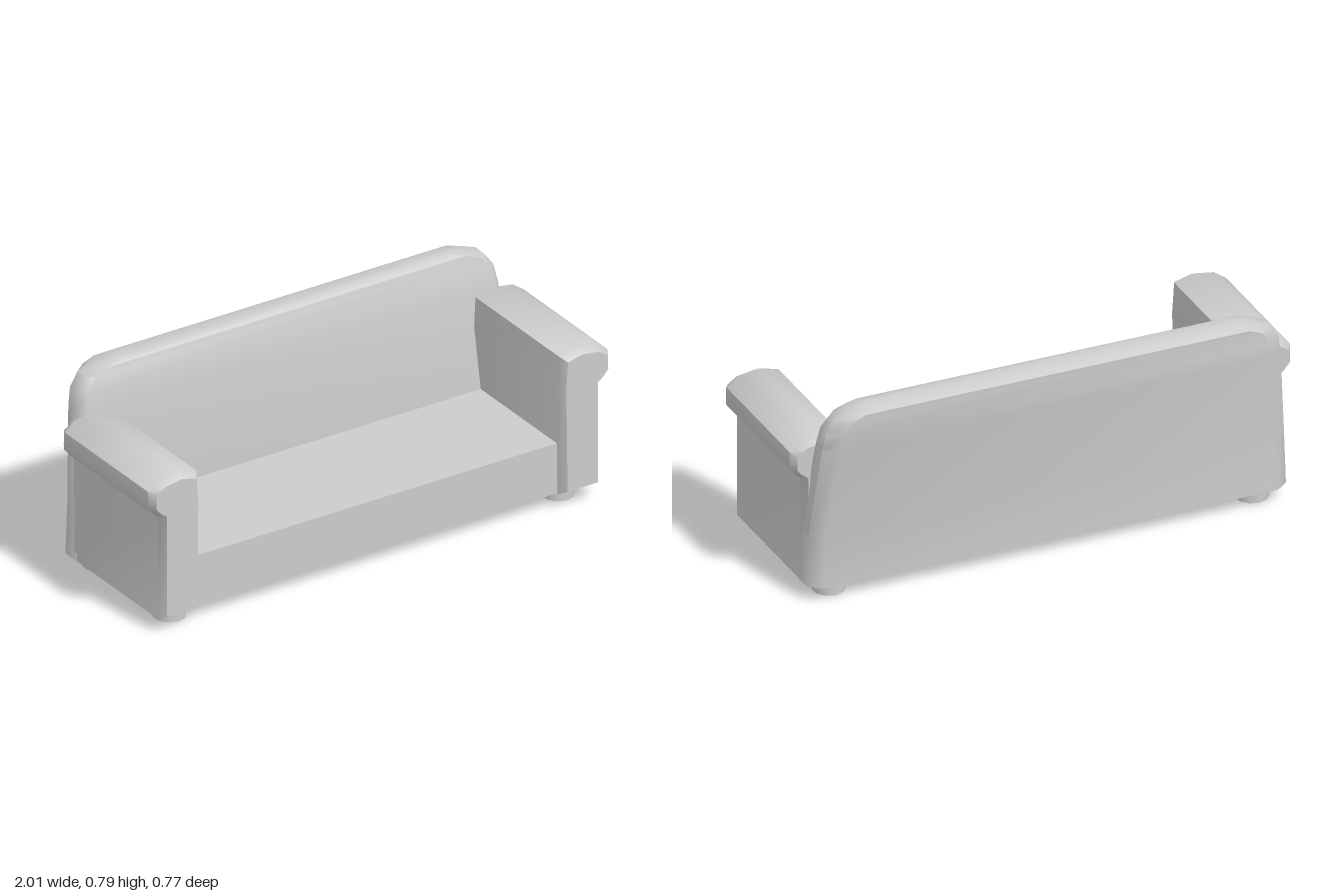
import * as THREE from 'three';
import { toCreasedNormals } from 'three/addons/utils/BufferGeometryUtils.js';

const material = new THREE.MeshStandardMaterial({ color: 0xcccccc });

function addPart(parent, name, geometry, crease = 0.9) {
  const mesh = new THREE.Mesh(toCreasedNormals(geometry, crease), material);
  mesh.name = name;
  parent.add(mesh);
  return mesh;
}

// Skin over horizontal rings of equal point count, listed bottom to top, with flat caps
function loft(rings) {
  const n = rings[0].length;
  const index = [];
  for (let r = 0; r < rings.length - 1; r++) {
    for (let i = 0; i < n; i++) {
      const a = r * n + i, b = r * n + (i + 1) % n;
      index.push(a, b, b + n, a, b + n, a + n);
    }
  }
  const top = (rings.length - 1) * n;
  for (let i = 1; i < n - 1; i++) {
    index.push(0, i + 1, i, top, top + i, top + i + 1);
  }
  const geometry = new THREE.BufferGeometry();
  geometry.setAttribute('position', new THREE.Float32BufferAttribute(rings.flat(2), 3));
  geometry.setIndex(index);
  return geometry;
}

// Rectangle with cut corners, running counter-clockwise seen from above
function backRing([y, w, front, back]) {
  const f = 0.025, b = 0.04;
  return [
    [-w + f, y, front], [w - f, y, front], [w, y, front - f], [w, y, back + b],
    [w - 0.05, y, back], [-w + 0.05, y, back], [-w, y, back + b], [-w, y, front - f],
  ];
}

// Arm outline: upright panel with a wider roll on top
function armGeometry(side) {
  const outline = [
    [0.787, 0.055], [0.955, 0.055], [0.955, 0.475], [0.975, 0.49], [1, 0.52],
    [0.998, 0.59], [0.95, 0.625], [0.87, 0.638], [0.79, 0.618], [0.782, 0.5],
  ].map(([x, y]) => new THREE.Vector2(side * x, y));
  const geometry = new THREE.ExtrudeGeometry(new THREE.Shape(outline), {
    depth: 0.55, bevelEnabled: true, bevelThickness: 0.03,
    bevelSize: 0.018, bevelOffset: -0.018, bevelSegments: 1,
  });
  return geometry.translate(0, 0, -0.21);
}

export function createModel() {
  const group = new THREE.Group();
  group.name = 'sofa';
  const sofa = new THREE.Group();
  sofa.name = 'sofaBody';
  sofa.rotation.y = -0.0175; // stands slightly turned
  group.add(sofa);

  // Seat block
  addPart(sofa, 'seat', new THREE.BoxGeometry(1.6, 0.206, 0.62).translate(0, 0.158, 0.02));

  // Leaning backrest: height, half width, front z, back z
  const levels = [
    [0.055, 0.956, -0.17, -0.308], [0.26, 0.95, -0.17, -0.305],
    [0.63, 0.915, -0.23, -0.351], [0.7, 0.902, -0.241, -0.36],
    [0.75, 0.865, -0.249, -0.367], [0.769, 0.815, -0.253, -0.368],
    [0.78, 0.78, -0.257, -0.35], [0.79, 0.74, -0.278, -0.325],
  ];
  // keep the cut corners inside the thin top ring
  const rings = levels.map((level) => backRing(level));
  const last = rings[rings.length - 1];
  for (const i of [2, 3, 6, 7]) last[i][2] = -0.3 + (i === 2 || i === 7 ? 0.004 : -0.004);
  addPart(sofa, 'backrest', loft(rings));

  // Arms and feet on both sides
  for (const side of [-1, 1]) {
    const label = side > 0 ? 'left' : 'right';
    addPart(sofa, label + 'Arm', armGeometry(side));
    for (const [end, z] of [['Front', 0.247], ['Back', -0.215]]) {
      const foot = new THREE.CylinderGeometry(0.062, 0.062, 0.06, 10).translate(side * 0.845, 0.03, z);
      addPart(sofa, label + end + 'Foot', foot);
    }
  }
  return group;
}
